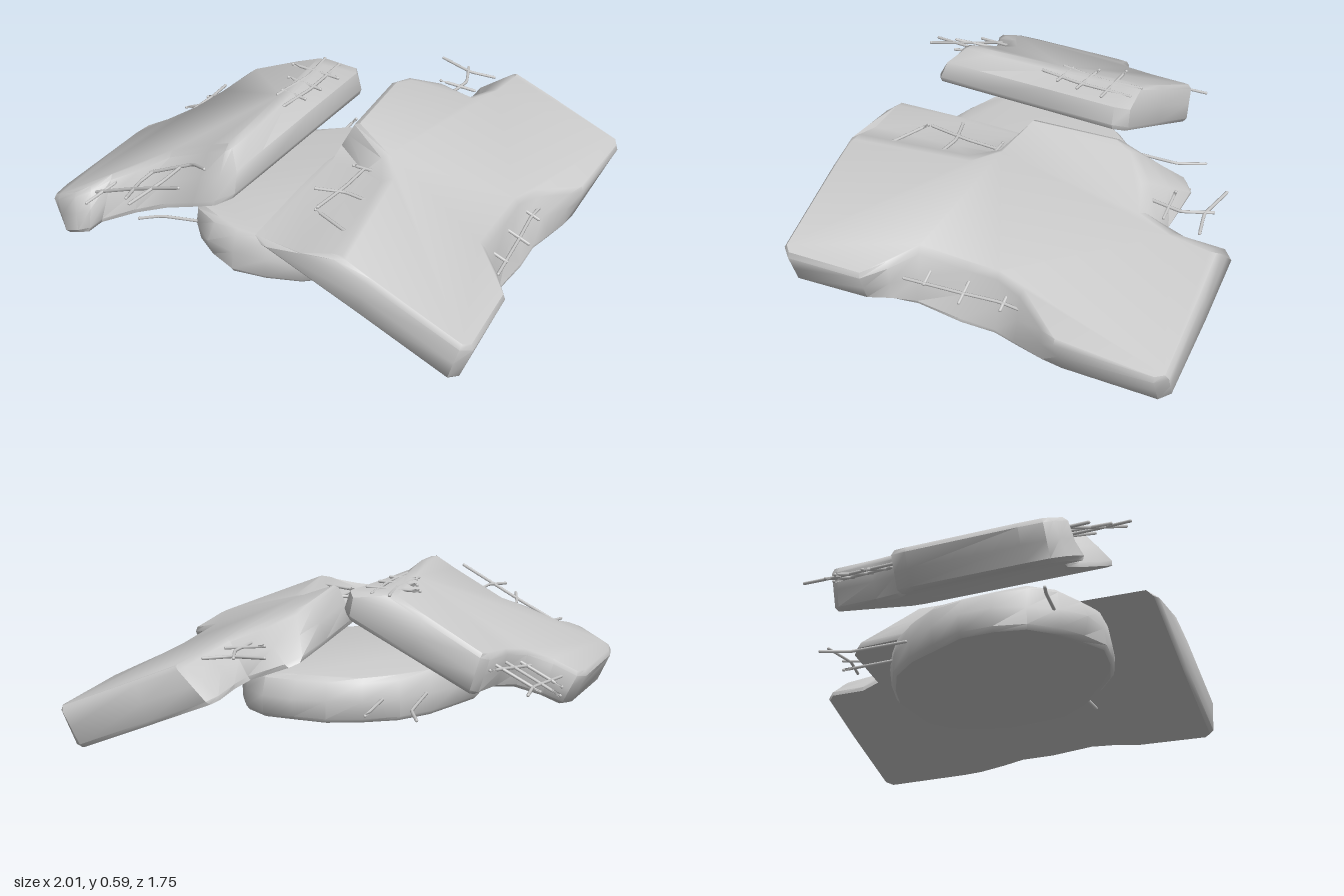
import * as THREE from 'three';
import { toCreasedNormals } from 'three/addons/utils/BufferGeometryUtils.js';

const concrete = new THREE.MeshStandardMaterial({ color: 0xcccccc, side: THREE.DoubleSide });
const steel = new THREE.MeshStandardMaterial({ color: 0xcccccc });
const lerp = THREE.MathUtils.lerp;

// Moves a closed counter-clockwise outline inwards by d
function inset(ring, d) {
  const n = ring.length;
  return ring.map((p, i) => {
    const a = ring[(i + n - 1) % n], b = ring[(i + 1) % n];
    const t = new THREE.Vector2(b.x - a.x, b.y - a.y).normalize();
    return { x: p.x - t.y * d, y: p.y + t.x * d, f: p.f };
  });
}

// Broken slab lofted between a bottom and a top outline, counter-clockwise from above.
// Each entry: xBottom, zBottom, xTop, zTop and optionally xMiddle, zMiddle, middle height.
function slab(name, outline, bottomY, topY) {
  const pick = (fn) => outline.map(([xb, zb, xt, zt, xm = (xb + xt) / 2, zm = (zb + zt) / 2, fm = 0.5]) =>
    fn({ x: xb, y: -zb, f: 0 }, { x: xm, y: -zm, f: fm }, { x: xt, y: -zt, f: 1 }));
  const mix = (a, b, t) => ({ x: lerp(a.x, b.x, t), y: lerp(a.y, b.y, t), f: lerp(a.f, b.f, t) });
  const rings = [
    inset(pick((b) => b), 0.015),
    pick((b, m) => mix(b, m, 0.2)),
    pick((b, m) => m),
    pick((b, m, t) => mix(m, t, 0.8)),
    inset(pick((b, m, t) => t), 0.015),
  ];
  const n = outline.length, pos = [], idx = [];
  rings.forEach((ring) => ring.forEach((p) => {
    pos.push(p.x, lerp(bottomY(p.x), topY(p.x), p.f), -p.y);
  }));
  // Sides
  for (let r = 0; r < rings.length - 1; r++) {
    for (let i = 0; i < n; i++) {
      const j = (i + 1) % n, a = r * n + i, b = r * n + j;
      idx.push(a, b, b + n, a, b + n, a + n);
    }
  }
  // Faces
  const cap = (ring) => THREE.ShapeUtils.triangulateShape(ring.map((p) => new THREE.Vector2(p.x, p.y)), []);
  cap(rings[0]).forEach(([a, b, c]) => idx.push(a, c, b));
  const o = 4 * n;
  cap(rings[4]).forEach(([a, b, c]) => idx.push(o + a, o + b, o + c));
  const geo = new THREE.BufferGeometry();
  geo.setAttribute('position', new THREE.Float32BufferAttribute(pos, 3));
  geo.setIndex(idx);
  const mesh = new THREE.Mesh(toCreasedNormals(geo, 0.8), concrete);
  mesh.name = name;
  return mesh;
}

// Bent reinforcing bars given as flat x, z pairs, laid at a height rule
function rebar(name, height, bars) {
  const group = new THREE.Group();
  group.name = name;
  bars.forEach((bar) => {
    const pts = [];
    for (let i = 0; i < bar.length; i += 2) {
      pts.push(new THREE.Vector3(bar[i], height(bar[i]), bar[i + 1]));
    }
    const path = new THREE.CatmullRomCurve3(pts, false, 'catmullrom', 0.1);
    const mesh = new THREE.Mesh(new THREE.TubeGeometry(path, (pts.length - 1) * 6, 0.007, 6), steel);
    mesh.name = 'bar';
    group.add(mesh);
    // Closed ends
    [pts[0], pts[pts.length - 1]].forEach((p) => {
      const end = new THREE.Mesh(new THREE.SphereGeometry(0.007, 6, 4), steel);
      end.position.copy(p);
      end.name = 'barEnd';
      group.add(end);
    });
  });
  return group;
}

export function createModel() {
  const model = new THREE.Group();
  model.name = 'rubblePile';

  // Large slab leaning down to the left side
  model.add(slab('largeSlab', [
    [.03, .77, .41, .78, .25, .78, .4], [.08, .805, .44, .80], [.5, .81, .55, .81], [.88, .82, .93, .82],
    [.91, .78, .97, .78], [.90, .46, .965, .45], [.88, .36, .89, .36], [.87, .25, .79, .27],
    [.89, .05, .80, .05, .82, .05, .4], [.89, -.1, .80, -.08, .82, -.1, .4], [.91, -.2, .84, -.2],
    [.93, -.33, .94, -.33], [.935, -.42, .985, -.4], [.935, -.81, 1.01, -.81], [.9, -.85, .98, -.86],
    [.6, -.87, .65, -.87], [.34, -.88, .48, -.87], [.30, -.84, .47, -.83], [.30, -.68, .45, -.66],
    [.28, -.6, .40, -.52], [.11, -.635, .28, -.48], [.06, -.59, .16, -.38], [.05, -.3, .12, -.3],
    [.045, .06, .13, .08], [.03, .18, .3, .15, .22, .19, .4], [.025, .4, .37, .25, .24, .4, .4],
  ], (x) => .367 - .42 * (x - .05), (x) => .53 - .414 * (x - .13)));

  // Smaller slab leaning down to the right side
  model.add(slab('smallSlab', [
    [-.9, .75, -.96, .71], [-.82, .77, -.85, .73], [-.76, .77, -.79, .69], [-.75, .70, -.74, .61],
    [-.6, .66, -.62, .57], [-.45, .66, -.52, .49], [-.3, .69, -.3, .53], [-.18, .71, -.2, .56],
    [-.11, .66, -.19, .54, -.12, .62], [-.08, .45, -.18, .42, -.1, .45], [-.035, .1, -.2, .1, -.06, .1],
    [.01, -.22, -.21, -.2, -.02, -.22], [-.03, -.28, -.22, -.27, -.05, -.28], [-.3, -.32, -.35, -.31],
    [-.55, -.36, -.6, -.36], [-.58, -.33, -.63, -.32], [-.62, -.14, -.67, -.15], [-.68, -.02, -.73, -.02],
    [-.78, .05, -.83, .05], [-.86, .07, -.93, .07], [-.89, .14, -.96, .14], [-.945, .6, -1.01, .6],
    [-.945, .7, -1, .69],
  ], (x) => .035 + .473 * (x + .93), (x) => .18 + .51 * (x + 1)));

  // Flat oval chunk lying between them, its long axis running front right to back left
  const oval = [];
  for (let i = 0; i < 22; i++) {
    const a = (i / 22) * Math.PI * 2;
    const at = (k) => {
      const u = .41 * k * Math.cos(a), v = .325 * k * Math.sin(a);
      return [.02 + u - v, .13 - u - v];
    };
    oval.push([
      ...at(.97 + .02 * Math.sin(5 * a + 1) + .015 * Math.sin(9 * a)),
      ...at(.94 + .025 * Math.sin(4 * a + 2) + .025 * Math.sin(7 * a)),
      ...at(.98 + .02 * Math.sin(6 * a)),
    ]);
  }
  model.add(slab('ovalChunk', oval, () => .04, () => .23));

  // Reinforcing bars in the broken edges
  const largeMid = (x) => .48 - .417 * (x - .09);
  const smallMid = (x) => .15 + .48 * (x + .965);
  model.add(
    rebar('largeSlabOuterBars', largeMid, [
      [.87, .3, .86, .05, .85, -.12, .87, -.36], [.79, -.13, .88, -.13], [.78, .04, .9, .04], [.79, .21, .87, .21],
    ]),
    rebar('largeSlabBackBars', (x) => .41 - .1 * (x - .25), [
      [.15, -.78, .3, -.74, .41, -.76], [.22, -.59, .38, -.6], [.28, -.77, .32, -.65, .3, -.52],
    ]),
    rebar('largeSlabInnerBars', () => .4, [
      [.18, .2, .27, .2], [.23, .2, .22, .35, .19, .53], [.12, .42, .24, .39, .38, .41], [.19, .55, .37, .63],
    ]),
    rebar('smallSlabBackBars', smallMid, [
      [-.79, -.37, -.79, -.25, -.86, .05], [-.82, -.26, -.6, -.23], [-.89, -.18, -.66, -.14],
      [-.88, -.07, -.68, -.04], [-.63, -.33, -.74, -.02],
    ]),
    rebar('smallSlabFrontBars', (x) => smallMid(x) + .02, [
      [-.85, .67, -.55, .72, -.28, .79], [-.71, .6, -.75, .78], [-.55, .57, -.56, .66, -.53, .8],
      [-.41, .59, -.42, .7, -.47, .86], [-.56, .58, -.35, .58, -.25, .65],
    ]),
    rebar('smallSlabTopBars', () => .575, [
      [-.3, -.16, -.07, -.14], [-.26, -.05, -.09, -.02], [-.23, .06, -.11, .08],
      [-.2, -.27, -.19, -.1, -.23, .1], [-.12, -.25, -.13, 0, -.16, .17],
    ]),
    rebar('ovalChunkBars', (x) => .14 - .25 * Math.max(0, Math.abs(x) - .48), [
      [-.38, -.52, -.33, -.4, -.33, -.15], [-.17, -.52, -.18, -.2],
      [-.65, .57, -.55, .54, -.3, .5], [.35, .3, .48, .33, .6, .36],
    ]),
  );
  return model;
}
